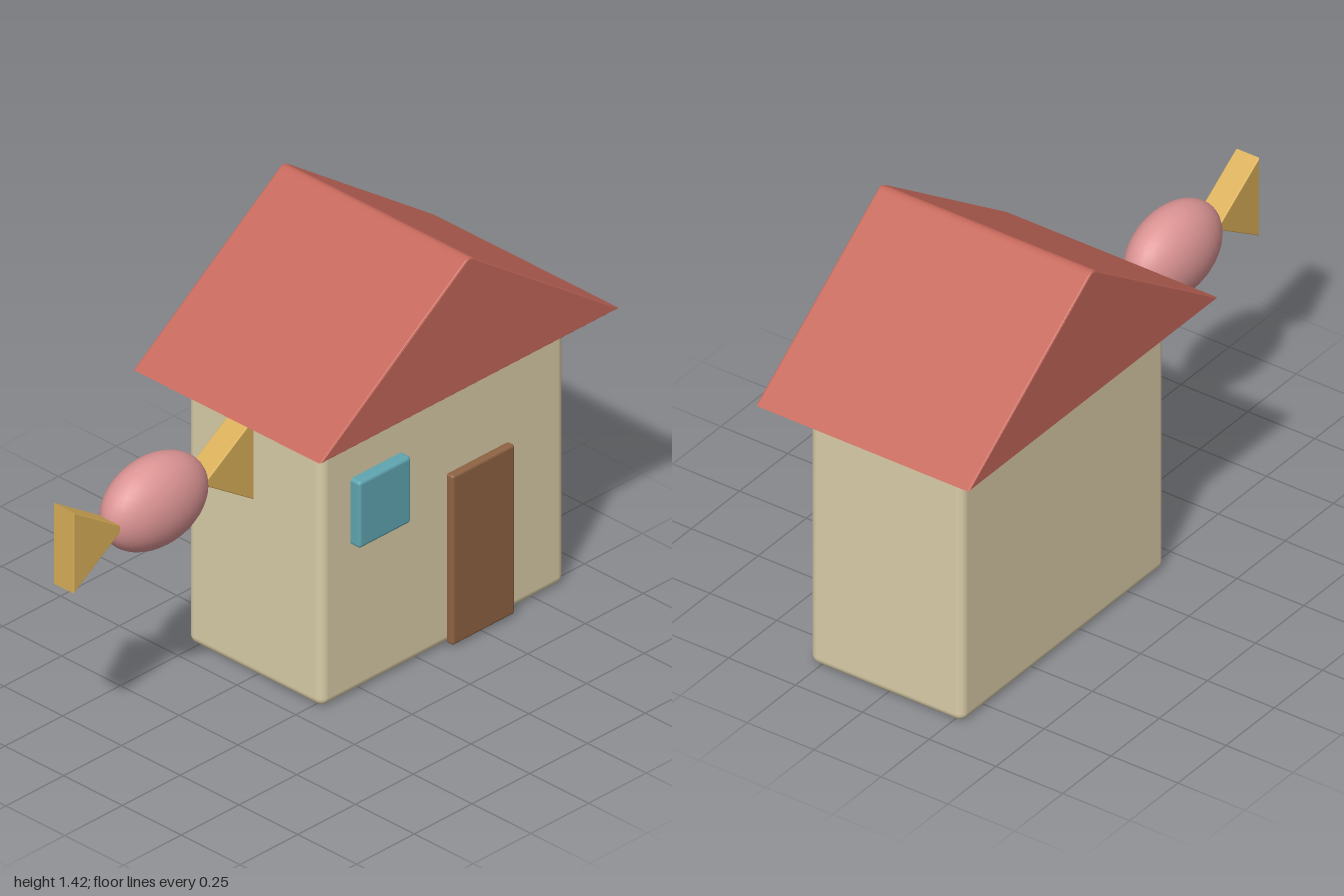
import * as THREE from 'three';
import { RoundedBoxGeometry } from 'three/addons/geometries/RoundedBoxGeometry.js';

function material(name, color) {
  const m = new THREE.MeshStandardMaterial({ color });
  m.name = name;
  return m;
}

export function createModel() {
  const cream = material('cream wall', 0xd9cca8);
  const red = material('roof red', 0xc4675a);
  const teal = material('window teal', 0x5fa5b0);
  const brown = material('door brown', 0x8f6343);
  const gold = material('wrapper gold', 0xd8ae58);
  const pink = material('candy pink', 0xdc9494);

  const model = new THREE.Group();
  model.name = 'candyHouse';

  const add = (parent, name, geometry, mat) => {
    const mesh = new THREE.Mesh(geometry, mat);
    mesh.name = name;
    parent.add(mesh);
    return mesh;
  };

  // Rounded block given by its extents on each axis
  const block = (parent, name, [x0, x1], [y0, y1], [z0, z1], radius, mat) => {
    const geometry = new RoundedBoxGeometry(x1 - x0, y1 - y0, z1 - z0, 3, radius);
    add(parent, name, geometry, mat)
      .position.set((x0 + x1) / 2, (y0 + y1) / 2, (z0 + z1) / 2);
  };

  // Flat outline extruded evenly about z = 0, with slightly softened rims
  const prism = (shape, depth, bevel) => {
    const geometry = new THREE.ExtrudeGeometry(shape, {
      depth: depth - 2 * bevel, bevelEnabled: true, bevelThickness: bevel,
      bevelSize: bevel, bevelOffset: -bevel, bevelSegments: 2, curveSegments: 4,
    });
    return geometry.translate(0, 0, bevel - depth / 2);
  };

  // House: walls, window and door
  const house = new THREE.Group();
  house.name = 'house';
  model.add(house);
  block(house, 'walls', [-0.175, 0.88], [0, 0.965], [-0.287, 0.287], 0.03, cream);
  block(house, 'window', [-0.05, 0.175], [0.53, 0.765], [0.27, 0.326], 0.012, teal);
  block(house, 'door', [0.36, 0.63], [0.01, 0.61], [0.288, 0.319], 0.01, brown);

  // Gable roof with a softened ridge
  const gable = new THREE.Shape();
  gable.moveTo(-0.293, 0.966);
  gable.lineTo(1, 0.966);
  gable.lineTo(0.371, 1.413);
  gable.quadraticCurveTo(0.354, 1.425, 0.337, 1.413);
  gable.closePath();
  add(house, 'roof', prism(gable, 0.796, 0.006), red);

  // Wrapped candy beside the house
  const candy = new THREE.Group();
  candy.name = 'candy';
  candy.position.set(-0.61, 0.805, 0);
  model.add(candy);
  add(candy, 'candyBody', new THREE.SphereGeometry(1, 32, 20), pink)
    .scale.set(0.208, 0.152, 0.112);

  // Fanned wrapper ends, mirrored left and right
  for (const side of [-1, 1]) {
    const fan = new THREE.Shape([
      new THREE.Vector2(0.17 * side, 0),
      new THREE.Vector2(0.39 * side, -0.143),
      new THREE.Vector2(0.39 * side, 0.143),
    ]);
    add(candy, side < 0 ? 'rightWrapper' : 'leftWrapper', prism(fan, 0.088, 0.004), gold);
  }

  return model;
}
